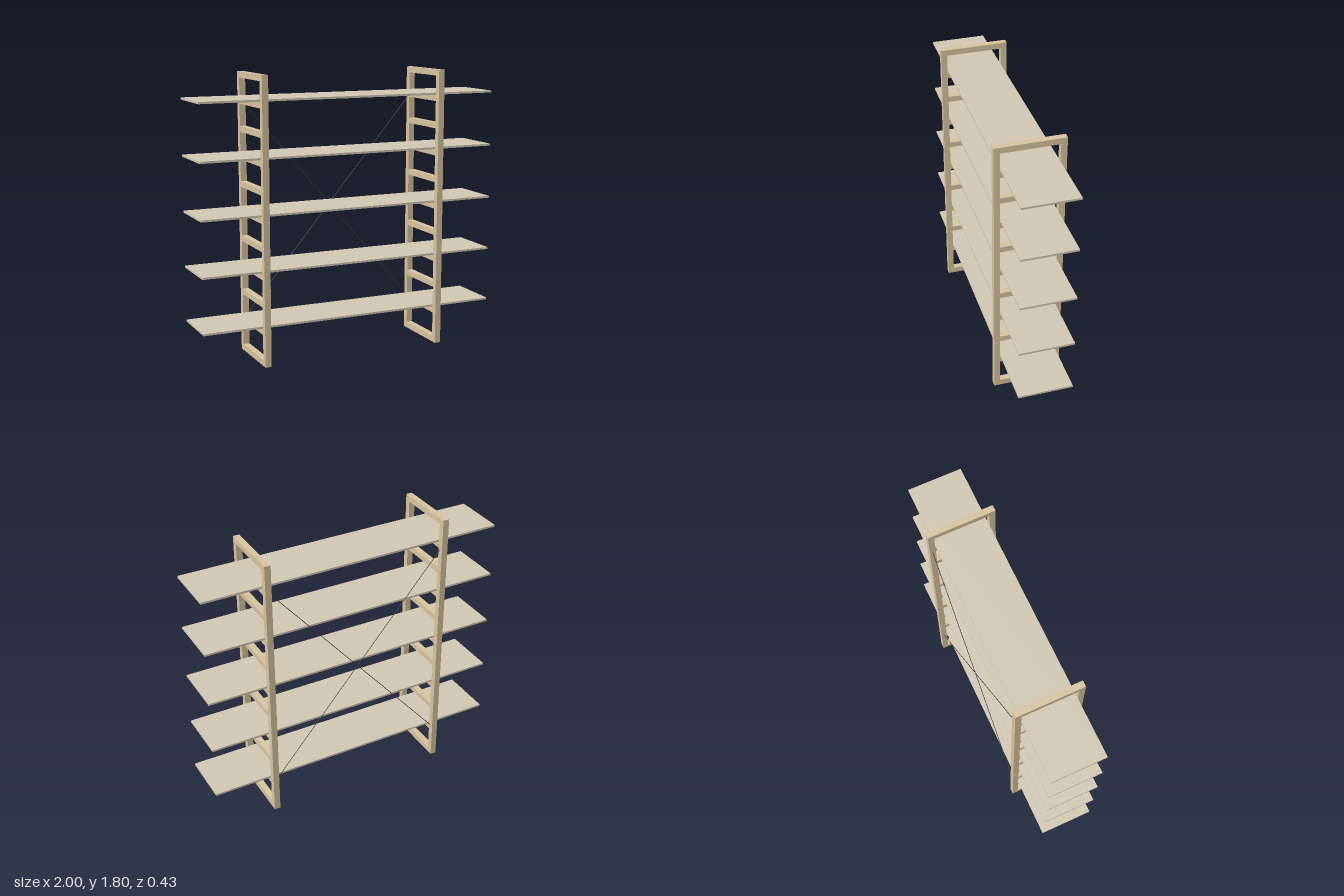
import * as THREE from 'three';

const HEIGHT = 1.8, DEPTH = 0.216, INNER = 0.178, BAR = 0.04, FRAME_X = 0.6;
const SHELF_Y = [0, 1, 2, 3, 4].map((i) => 0.24 + 0.35 * i); // shelf undersides

const frameMat = new THREE.MeshStandardMaterial({ color: 0xd8c4a0 });
const shelfMat = new THREE.MeshStandardMaterial({ color: 0xd2c8b4 });
const cableMat = new THREE.MeshStandardMaterial({ color: 0x444444 });

function rect(target, halfWidth, y0, y1) {
  target.moveTo(-halfWidth, y0);
  target.lineTo(halfWidth, y0);
  target.lineTo(halfWidth, y1);
  target.lineTo(-halfWidth, y1);
  target.closePath();
  return target;
}

// Ladder frame: a tall panel with one opening between each pair of rungs
function ladderGeometry() {
  const outline = rect(new THREE.Shape(), DEPTH, 0, HEIGHT);
  const rungs = [[0, BAR]];
  SHELF_Y.forEach((y, i) => {
    rungs.push([y - BAR, y]);
    if (i < SHELF_Y.length - 1) rungs.push([y + 0.135, y + 0.171]);
  });
  rungs.push([HEIGHT - 0.038, HEIGHT]);
  for (let i = 0; i + 1 < rungs.length; i++) {
    outline.holes.push(rect(new THREE.Path(), INNER, rungs[i][1], rungs[i + 1][0]));
  }
  const geo = new THREE.ExtrudeGeometry(outline, { depth: BAR, bevelEnabled: false });
  return geo.translate(0, 0, -BAR / 2).rotateY(Math.PI / 2);
}

// Thin straight cable between two points
function cable(a, b) {
  const mesh = new THREE.Mesh(new THREE.CylinderGeometry(0.002, 0.002, a.distanceTo(b), 8), cableMat);
  mesh.position.copy(a).add(b).multiplyScalar(0.5);
  mesh.quaternion.setFromUnitVectors(new THREE.Vector3(0, 1, 0), b.clone().sub(a).normalize());
  return mesh;
}

export function createModel() {
  const model = new THREE.Group();
  model.name = 'shelvingUnit';

  const ladder = ladderGeometry();
  for (const side of [1, -1]) {
    const name = side > 0 ? 'left' : 'right';

    const frame = new THREE.Mesh(ladder, frameMat);
    frame.name = name + 'LadderFrame';
    frame.position.x = side * FRAME_X;
    model.add(frame);

    // Diagonal brace across the back, from the top of this side to the foot of the other
    const x = side * (FRAME_X - BAR / 2);
    const brace = cable(new THREE.Vector3(x, 1.6, -0.198), new THREE.Vector3(-x, 0.24, -0.198));
    brace.name = name + 'BraceCable';
    model.add(brace);
  }

  // Shelves resting on the rungs
  const thickness = 0.013;
  const board = new THREE.BoxGeometry(2, thickness, 0.348);
  SHELF_Y.forEach((y, i) => {
    const shelf = new THREE.Mesh(board, shelfMat);
    shelf.name = 'shelf' + (i + 1);
    shelf.position.y = y + thickness / 2;
    model.add(shelf);
  });

  return model;
}
